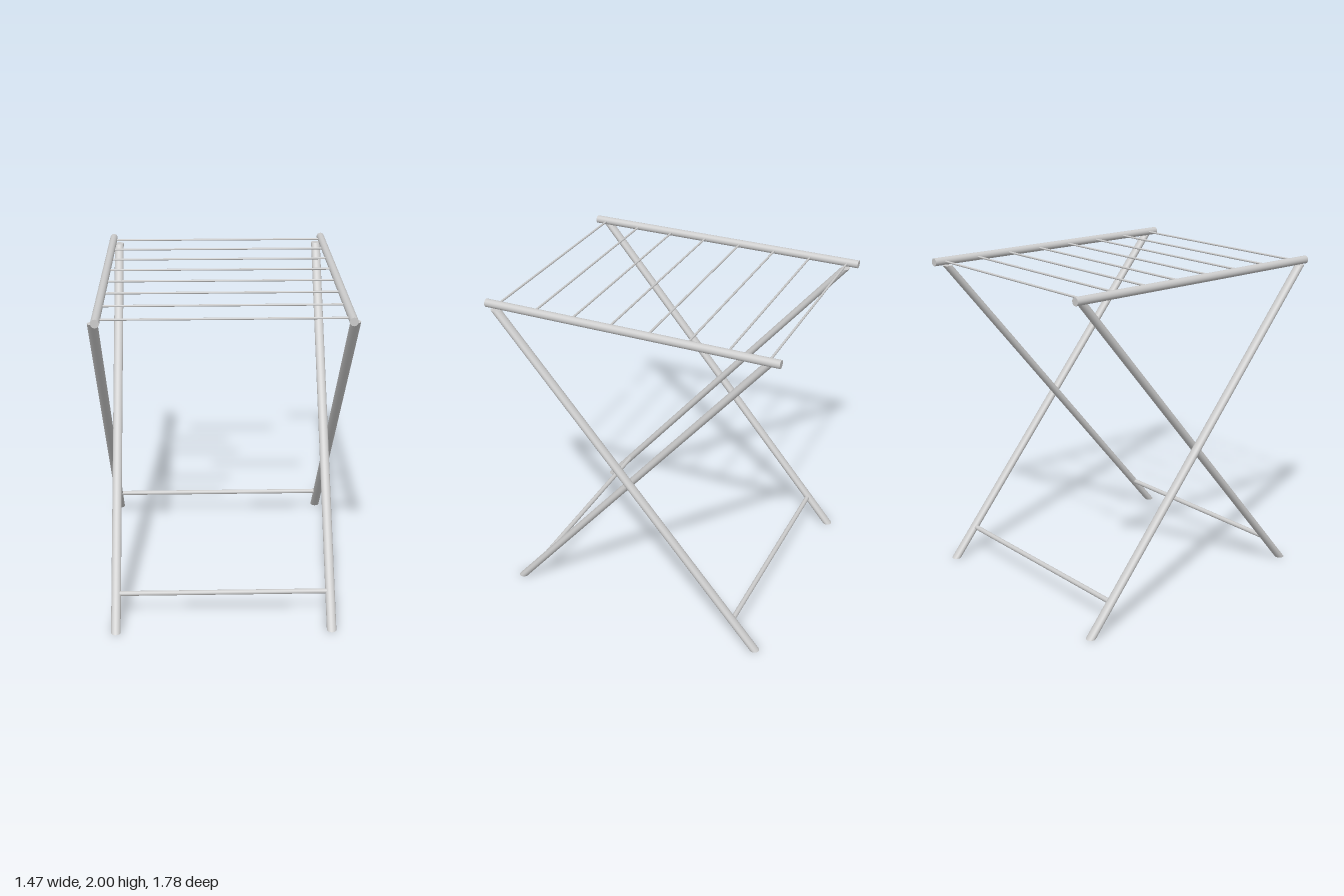
import * as THREE from 'three';

export function createModel() {
  const model = new THREE.Group();
  model.name = 'foldingDryingRack';
  const metal = new THREE.MeshStandardMaterial({ color: 0xcccccc });
  metal.name = 'light grey metal';

  const add = (name, geometry, x, y, z) => {
    const mesh = new THREE.Mesh(geometry, metal);
    mesh.name = name;
    mesh.position.set(x, y, z);
    model.add(mesh);
  };

  const barAlongX = (radius, length, sides) =>
    new THREE.CylinderGeometry(radius, radius, length, sides).rotateZ(Math.PI / 2);

  // Slanted leg: an upright tube sheared along z so both ends stay level
  const legHeight = 1.955, legReach = 0.82;
  const legGeometry = (direction) => {
    const geometry = new THREE.CylinderGeometry(0.029, 0.029, legHeight, 24);
    const shear = -direction * 2 * legReach / legHeight;
    geometry.applyMatrix4(new THREE.Matrix4().set(
      1, 0, 0, 0,
      0, 1, 0, 0,
      0, shear, 1, 0,
      0, 0, 0, 1));
    return geometry;
  };

  for (const [side, s] of [['left', 1], ['right', -1]]) {
    // Top rails
    const rail = new THREE.CylinderGeometry(0.024, 0.024, 1.78, 24).rotateX(Math.PI / 2);
    add(side + 'TopRail', rail, s * 0.688, 1.976, 0);
    // Crossed legs: the inner pair stands at the front, the outer pair at the back
    add(side + 'FrontLeg', legGeometry(1), s * 0.65, legHeight / 2, 0);
    add(side + 'BackLeg', legGeometry(-1), s * 0.706, legHeight / 2, 0);
  }

  // Crossbars near the feet
  add('frontCrossbar', barAlongX(0.015, 1.28, 20), 0, 0.18, 0.67);
  add('backCrossbar', barAlongX(0.015, 1.39, 20), 0, 0.18, -0.67);

  // Hanging wires
  for (let i = 0; i < 8; i++) {
    add('hangingWire' + (i + 1), barAlongX(0.0065, 1.37, 12), 0, 1.976, (i - 3.5) * 0.2343);
  }
  return model;
}
